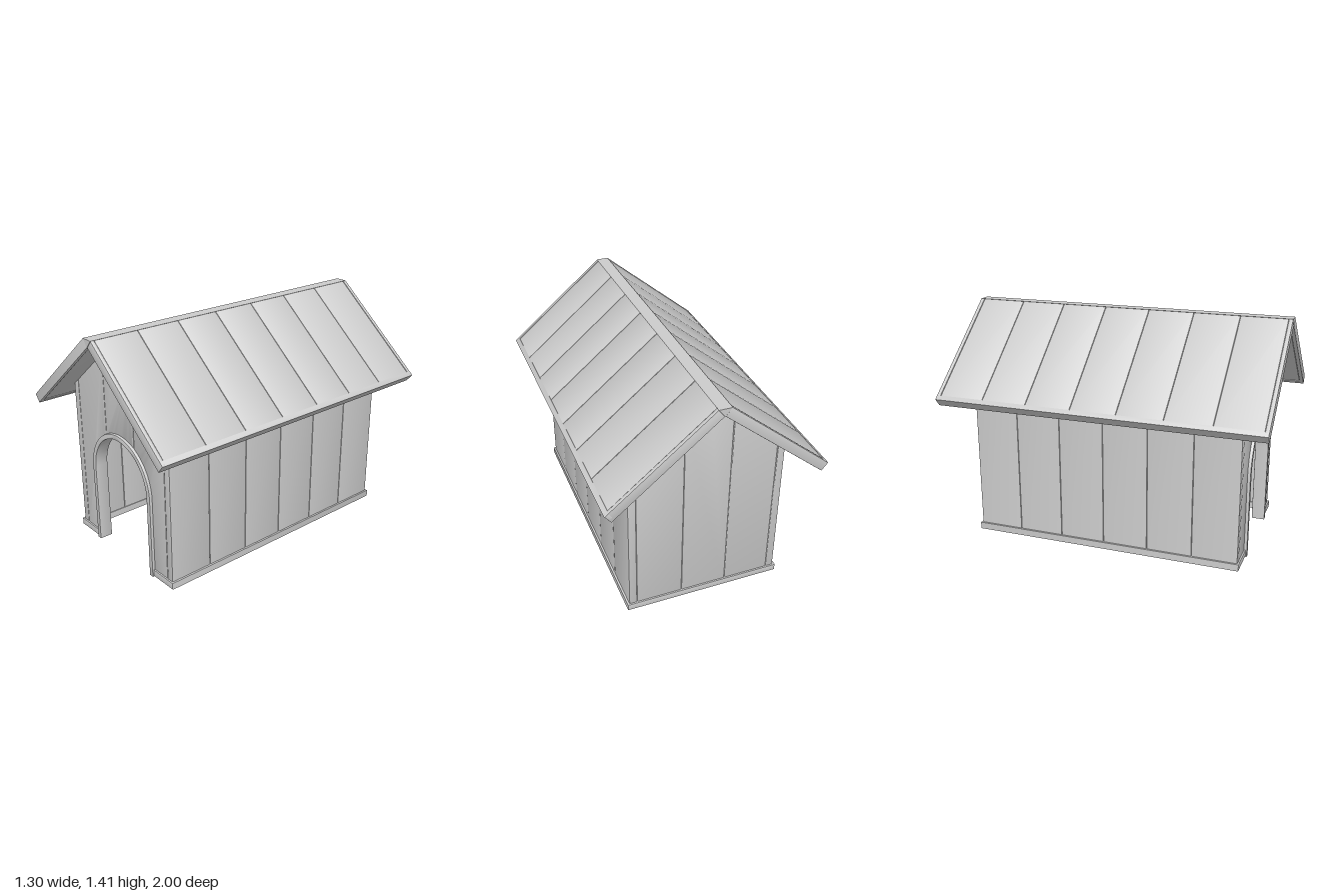
import * as THREE from 'three';
import { toCreasedNormals } from 'three/addons/utils/BufferGeometryUtils.js';

const paint = new THREE.MeshStandardMaterial({ color: 0xcccccc });
paint.name = 'light grey';

// Doorway arch and underside of the roof
const DOOR_X = 0.007, DOOR_Y = 0.505;
const roofY = (x) => 1.36 - 0.828 * Math.abs(x);

// Bevelled prism: an xy outline running from z0 to z1
function prism(name, points, z0, z1, bevel = 0.007) {
  const shape = new THREE.Shape(points.map(([x, y]) => new THREE.Vector2(x, y)));
  const geometry = new THREE.ExtrudeGeometry(shape, {
    depth: z1 - z0 - 2 * bevel,
    bevelEnabled: bevel > 0,
    bevelSize: bevel,
    bevelThickness: bevel,
    bevelOffset: -bevel,
    bevelSegments: 2,
  });
  geometry.translate(0, 0, z0 + bevel);
  const mesh = new THREE.Mesh(toCreasedNormals(geometry, 0.6), paint);
  mesh.name = name;
  return mesh;
}

const rect = (x0, y0, x1, y1) => [[x0, y0], [x1, y0], [x1, y1], [x0, y1]];

// Points on the door arch from angle a0 to a1
function arc(r, a0, a1, n = 32) {
  return Array.from({ length: n + 1 }, (_, i) => {
    const a = a0 + ((a1 - a0) * i) / n;
    return [DOOR_X + r * Math.cos(a), DOOR_Y + r * Math.sin(a)];
  });
}

function sideWall(side) {
  const wall = new THREE.Group();
  wall.name = side > 0 ? 'leftWall' : 'rightWall';
  const outline = [[0.42, 0.01], [0.468, 0.01], [0.468, roofY(0.468) + 0.008], [0.42, roofY(0.42) + 0.008]]
    .map(([x, y]) => [x * side, y]);
  const width = 1.66 / 6;
  for (let i = 0; i < 6; i++) {
    wall.add(prism('sideBoard', outline, -0.83 + i * width, -0.83 + (i + 1) * width));
  }
  return wall;
}

// Three upright boards; the front ones are cut around the doorway
function gable(name, z0, z1, hasDoor) {
  const wall = new THREE.Group();
  wall.name = name;
  const r = 0.28, bottom = 0.01;
  const angleAt = (x) => Math.acos((x - DOOR_X) / r);
  const top = (x) => [x, roofY(x) + 0.008];
  const edges = [-0.42, -0.14, 0.14, 0.42];
  for (let i = 0; i < 3; i++) {
    const [x0, x1] = [edges[i], edges[i + 1]];
    let lower = [[x0, bottom], [x1, bottom]];
    if (hasDoor && i === 0) {
      lower = [[x0, bottom], [DOOR_X - r, bottom], ...arc(r, Math.PI, angleAt(x1), 14)];
    } else if (hasDoor && i === 1) {
      lower = arc(r, angleAt(x0), angleAt(x1), 14);
    } else if (hasDoor) {
      lower = [...arc(r, angleAt(x0), 0, 14), [DOOR_X + r, bottom], [x1, bottom]];
    }
    const upper = i === 1 ? [top(x1), top(0), top(x0)] : [top(x1), top(x0)];
    wall.add(prism('gableBoard', [...lower, ...upper], z0, z1));
  }
  return wall;
}

// One roof slope: recessed boards inside a raised edge
function roofSlope(side) {
  const slope = new THREE.Group();
  slope.name = side > 0 ? 'leftRoof' : 'rightRoof';
  // s runs down the slope, h is the height above the underside
  const band = (s0, h0, s1, h1) => rect(s0, h0, s1, h1)
    .map(([s, h]) => [side * (0.77 * s + 0.638 * h), 1.36 - 0.638 * s + 0.77 * h]);
  const end = 0.975, width = (2 * end) / 7;
  for (let i = 0; i < 7; i++) {
    const z = -end + i * width;
    slope.add(prism('roofBoard', band(0, 0.004, 0.762, 0.058), z, z + width));
  }
  slope.add(prism('eaveTrim', band(0.76, 0, 0.792, 0.06), -1, 1, 0.006));
  for (const z of [-1, end]) {
    slope.add(prism('roofEndTrim', band(0, 0, 0.792, 0.06), z, z + 0.025, 0.005));
  }
  return slope;
}

export function createModel() {
  const house = new THREE.Group();
  house.name = 'kennel';

  // Walls
  house.add(sideWall(1), sideWall(-1));
  house.add(gable('frontWall', 0.78, 0.83, true), gable('backWall', -0.83, -0.78, false));

  // Roof with a flat ridge strip
  house.add(roofSlope(1), roofSlope(-1));
  house.add(prism('ridge', [[0, 1.36], [0.038, 1.406], [-0.038, 1.406]], -1, 1, 0));

  // Base frame, open at the doorway
  const y0 = 0.004, y1 = 0.046;
  for (const x of [-0.48, 0.415]) {
    house.add(prism('sideBaseRail', rect(x, y0, x + 0.065, y1), -0.84, 0.84, 0.004));
  }
  house.add(prism('backBaseRail', rect(-0.47, y0, 0.47, y1), -0.84, -0.775, 0.004));
  house.add(prism('frontBaseRail', rect(-0.47, y0, DOOR_X - 0.275, y1), 0.775, 0.84, 0.004));
  house.add(prism('frontBaseRail', rect(DOOR_X + 0.275, y0, 0.47, y1), 0.775, 0.84, 0.004));

  // Arched door frame
  const outer = 0.2925, inner = 0.2625;
  house.add(prism('doorFrame', [
    [DOOR_X - outer, 0], ...arc(outer, Math.PI, 0), [DOOR_X + outer, 0],
    [DOOR_X + inner, 0], ...arc(inner, 0, Math.PI), [DOOR_X - inner, 0],
  ], 0.765, 0.848, 0.003));

  return house;
}
